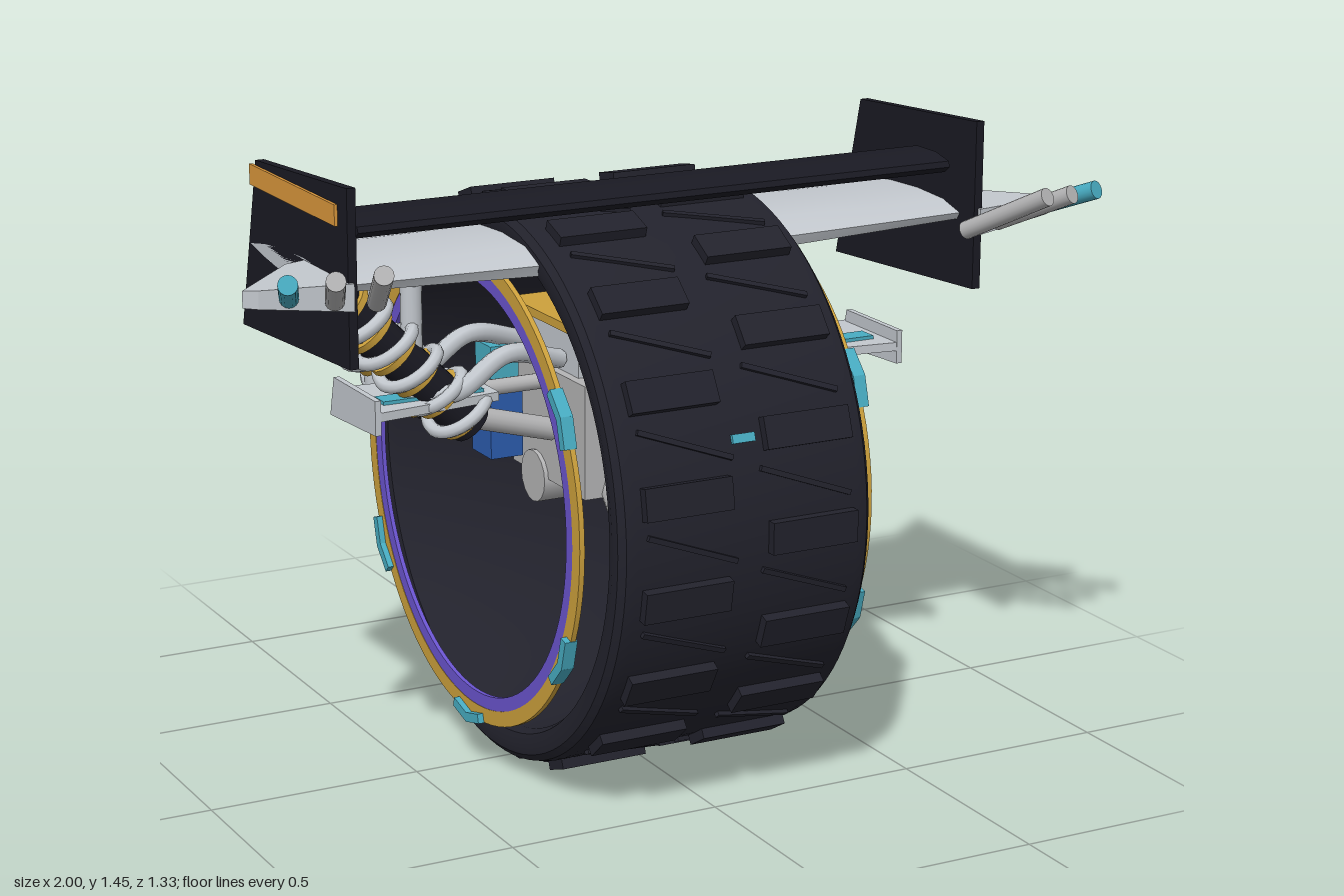
import * as THREE from 'three';
import { toCreasedNormals } from 'three/addons/utils/BufferGeometryUtils.js';

const CY = 0.665; // wheel centre height
const V = (x, y, z) => new THREE.Vector3(x, y, z);
const mat = (name, color, side = THREE.FrontSide) => {
  const m = new THREE.MeshStandardMaterial({ color, side });
  m.name = name;
  return m;
};

export function createModel() {
  const rubber = mat('rubber', 0x22222c);
  const panel = mat('darkPanel', 0x1a1a23);
  const silver = mat('silver', 0xc3c8ce);
  const steel = mat('steel', 0xb4b4b5);
  const gold = mat('gold', 0xcda13c);
  const orange = mat('orange', 0xdb983c);
  const purple = mat('purple', 0x6a54cf);
  const cyan = mat('cyan', 0x48acc2);
  const blue = mat('blue', 0x2c5cae);

  const root = new THREE.Group();
  const add = (name, geo, m, parent = root) => {
    const mesh = new THREE.Mesh(geo, m);
    mesh.name = name;
    parent.add(mesh);
    return mesh;
  };
  const group = (name, parent = root) => {
    const g = new THREE.Group();
    g.name = name;
    parent.add(g);
    return g;
  };
  const box = (name, w, h, d, x, y, z, m, parent) => {
    const b = add(name, new THREE.BoxGeometry(w, h, d), m, parent);
    b.position.set(x, y, z);
    return b;
  };
  const rod = (name, a, b, r, m, parent, r2 = r) => {
    const d = b.clone().sub(a);
    const c = add(name, new THREE.CylinderGeometry(r2, r, d.length(), 16), m, parent);
    c.position.copy(a).addScaledVector(d, 0.5);
    c.quaternion.setFromUnitVectors(V(0, 1, 0), d.normalize());
    return c;
  };
  const tube = (name, pts, r, m, parent, n = 24) =>
    add(name, new THREE.TubeGeometry(new THREE.CatmullRomCurve3(pts), n, r, 8), m, parent);
  const shapeOf = pts => new THREE.Shape(pts.map(p => new THREE.Vector2(p[0], p[1])));
  const extrude = (pts, depth, steps = 1) =>
    new THREE.ExtrudeGeometry(shapeOf(pts), { depth, steps, bevelEnabled: false });
  // Side-profile plate: points are [z, y], thickness runs along x
  const sidePlate = (pts, x, t, steps) =>
    extrude(pts.map(([z, y]) => [-z, y]), t, steps).rotateY(Math.PI / 2).translate(x - t / 2, 0, 0);
  // Ring around the x axis from a closed [radius, x] profile
  const ringGeo = pts => toCreasedNormals(new THREE.LatheGeometry(
    [...pts, pts[0]].map(p => new THREE.Vector2(p[0], p[1])), 96).rotateZ(-Math.PI / 2), 0.6);
  const band = (r0, r1, x, t) => ringGeo([[r1, x - t / 2], [r1, x + t / 2], [r0, x + t / 2], [r0, x - t / 2]]);

  // Tyre carcass and tread
  const wheel = group('wheel');
  wheel.position.y = CY;
  add('tyre', ringGeo([[0.60, -0.31], [0.622, -0.308], [0.637, -0.295], [0.642, -0.27], [0.642, 0.27],
    [0.637, 0.295], [0.622, 0.308], [0.60, 0.31], [0.575, 0.303], [0.565, 0.285],
    [0.565, -0.285], [0.575, -0.303]]), rubber, wheel);
  for (let i = 0; i < 36; i++) {
    const pivot = group('treadStep', wheel);
    pivot.rotation.x = -i * Math.PI / 18;
    const s = i % 2 ? -1 : 1;
    box('treadBlock', 0.21, 0.072, 0.05, s * 0.152, 0, 0.639, rubber, pivot);
    box('treadRidge', 0.23, 0.012, 0.018, -s * 0.14, 0, 0.641, rubber, pivot).rotation.z = -0.36;
  }
  const marker = group('treadMarker', wheel);
  marker.rotation.x = -0.345;
  box('treadMarkerPlate', 0.055, 0.02, 0.02, 0, 0, 0.64, cyan, marker);

  // Rim rings with chevrons
  for (const s of [-1, 1]) {
    add('goldRing', band(0.515, 0.55, s * 0.355, 0.012), gold, wheel);
    add('purpleRing', band(0.484, 0.515, s * 0.355, 0.01), purple, wheel);
    for (let i = 0; i < 6; i++) {
      const pivot = group('chevron', wheel);
      pivot.rotation.x = i * Math.PI / 3 + Math.PI / 6;
      for (const t of [-1, 1])
        box('chevronBar', 0.03, 0.07, 0.022, s * 0.36, t * 0.031, 0.545, cyan, pivot).rotation.x = t * -0.25;
    }
  }

  // Turbine face on the left side, built facing +z then turned to +x
  const fan = group('turbine');
  fan.position.y = CY;
  fan.rotation.y = Math.PI / 2;
  const faceZ = r => 0.425 - 0.14 * r;
  add('turbineRim', new THREE.TorusGeometry(0.338, 0.028, 16, 64), silver, fan).position.z = 0.372;
  const cone = [[0, 0.35], [0.33, 0.35], [0.33, faceZ(0.33) - 0.012], [0, faceZ(0) - 0.012]];
  add('turbineBack', toCreasedNormals(new THREE.LatheGeometry(
    cone.map(p => new THREE.Vector2(p[0], p[1])), 48).rotateX(Math.PI / 2), 0.5), panel, fan);
  const drape = (geo, lift = 0) => {
    const p = geo.attributes.position;
    for (let i = 0; i < p.count; i++)
      p.setZ(i, p.getZ(i) + lift + faceZ(Math.hypot(p.getX(i), p.getY(i))) - 0.01);
    geo.computeVertexNormals();
    return geo;
  };
  const blade = [[0.05, -0.08], [0.13, -0.075], [0.2, -0.02], [0.285, 0.02], [0.2, 0.045], [0.15, 0.075], [0.06, 0.08]];
  const inlay = [[0.09, -0.035], [0.15, -0.04], [0.235, 0.012], [0.15, 0.03], [0.18, 0.006]];
  for (let i = 0; i < 5; i++) {
    const arm = group('turbineArm', fan);
    arm.rotation.z = (i * 72 + 52) * Math.PI / 180;
    add('blade', drape(extrude(blade, 0.014)), silver, arm);
    add('bladeInlay', drape(extrude(inlay, 0.008), 0.013), steel, arm);
    const arc = [];
    for (let k = 0; k <= 8; k++) {
      const a = -0.25 + k * 0.3, x = 0.2 + 0.085 * Math.cos(a), y = 0.125 + 0.085 * Math.sin(a);
      arc.push(V(x, y, faceZ(Math.hypot(x, y)) - 0.008));
    }
    tube('vane', arc, 0.011, panel, arm);
  }
  const dome = add('hubDome', new THREE.SphereGeometry(0.102, 32, 16), silver, fan);
  dome.scale.z = 0.35;
  dome.position.z = 0.4;
  const cap = add('hubCap', new THREE.CylinderGeometry(0.038, 0.038, 0.012, 24), orange, fan);
  cap.rotation.x = Math.PI / 2;
  cap.position.z = 0.433;

  // Main wing: cambered section thinning toward the tips
  const foil = [[-0.22, 1.205], [-0.14, 1.232], [-0.04, 1.252], [0.08, 1.26], [0.19, 1.25], [0.26, 1.215],
    [0.25, 1.185], [0.15, 1.16], [0, 1.152], [-0.12, 1.168]];
  const wing = sidePlate(foil, 0, 1.56, 8);
  const wp = wing.attributes.position;
  for (let i = 0; i < wp.count; i++)
    wp.setY(i, 1.24 + (wp.getY(i) - 1.24) * (1.03 - 0.5 * Math.abs(wp.getX(i)) / 0.78));
  add('mainWing', toCreasedNormals(wing, 0.7), silver);

  // Upper spoiler blade
  add('spoilerBlade', toCreasedNormals(sidePlate([[0.05, 1.33], [0.06, 1.345], [0.12, 1.36], [0.2, 1.36], [0.255, 1.348],
    [0.26, 1.335], [0.24, 1.32], [0.12, 1.315], [0.06, 1.32]], 0, 1.46), 0.7), panel);

  for (const s of [-1, 1]) {
    // End plate with stripe
    add('endPlate', sidePlate([[0.32, 1.447], [-0.18, 1.415], [-0.28, 1.024], [0.32, 1.06]], s * 0.77, 0.02), panel);
    add('endPlateStripe', sidePlate([[0.27, 1.404], [-0.2, 1.404], [-0.2, 1.358], [0.27, 1.358]], s * 0.783, 0.008), orange);

    // Winglet outside the end plate
    const winglet = extrude([[0.77, 0.08], [0.83, 0.1], [1, 0.28], [0.97, 0.295], [0.77, 0.33]]
      .map(([x, z]) => [s * x, z]), 0.05).rotateX(Math.PI / 2).translate(0, 1.247, 0);
    const p = winglet.attributes.position;
    for (let i = 0; i < p.count; i++)
      if (p.getY(i) < 1.22) p.setY(i, 1.187 + 0.1 * (Math.abs(p.getX(i)) - 0.77));
    winglet.computeVertexNormals();
    add('winglet', winglet, silver);

    // Three tip pipes
    rod('cyanPipe', V(s * 0.905, 1.225, 0.3), V(s * 0.98, 1.3, 0.48), 0.021, cyan);
    rod('middlePipe', V(s * 0.815, 1.215, 0.33), V(s * 0.89, 1.305, 0.515), 0.021, steel);
    rod('innerPipe', V(s * 0.725, 1.205, 0.34), V(s * 0.8, 1.315, 0.55), 0.021, steel);

    // Side step with upright foot plate
    const step = extrude([[0.35, -0.03], [0.66, -0.06], [0.66, 0.18], [0.35, 0.14]]
      .map(([x, z]) => [s * x, z]), 0.02).rotateX(Math.PI / 2).translate(0, 0.915, 0);
    add('sideStep', step, silver);
    box('sideStepStripe', 0.24, 0.008, 0.05, s * 0.5, 0.919, 0.1, cyan);
    add('footPlate', sidePlate([[0.18, 0.943], [-0.045, 0.943], [-0.068, 0.852], [0.18, 0.865]], s * 0.657, 0.014), silver);
  }

  // Engine inside the wheel
  const engine = group('engine');
  box('engineBlock', 0.38, 0.26, 0.36, 0, 0.8, 0.06, steel, engine);
  box('cylinderHead', 0.34, 0.12, 0.3, 0, 0.98, 0.02, silver, engine);
  box('headGasket', 0.36, 0.02, 0.33, 0, 1.035, 0, gold, engine);
  box('airBox', 0.3, 0.2, 0.17, 0, 0.77, 0.395, silver, engine);
  box('airBoxLid', 0.31, 0.014, 0.18, 0, 0.878, 0.395, cyan, engine);
  box('coolantTank', 0.08, 0.16, 0.1, -0.24, 0.78, -0.1, blue, engine);
  box('coolantTankLid', 0.07, 0.1, 0.08, -0.24, 0.91, -0.1, cyan, engine);
  rod('axle', V(-0.2, CY, 0), V(0.36, CY, 0), 0.06, steel, engine);
  rod('stepBeam', V(-0.37, 0.9, 0.05), V(0.37, 0.9, 0.05), 0.018, steel, engine);
  for (const x of [-0.12, 0.1]) {
    const horn = [[0.03, 0], [0.035, 0.05], [0.05, 0.09], [0.075, 0.115]].map(p => new THREE.Vector2(p[0], p[1]));
    const horns = mat('steel', 0xb4b4b5, THREE.DoubleSide);
    add('intakeTrumpet', new THREE.LatheGeometry(horn, 24), horns, engine).position.set(x, 0.9, 0.265);
    tube('exhaustPipe', [V(x, 0.72, 0.2), V(x, 0.64, 0.28), V(x, 0.58, 0.36), V(x, 0.55, 0.45)], 0.028, steel, engine);
  }
  for (const z of [-0.15, 0.155]) rod('headPost', V(0.2, 0.9, z), V(0.2, 1.17, z), 0.024, silver, engine);

  // Coil-over shocks on the right side
  for (const z of [-0.1, 0.1]) {
    const a = V(-0.4, 0.84, z), b = V(-0.72, 1.16, z), len = a.distanceTo(b);
    rod('shockBody', a, b, 0.05, panel);
    const shock = group('shock');
    shock.position.copy(a);
    shock.quaternion.setFromUnitVectors(V(0, 1, 0), b.clone().sub(a).normalize());
    const coil = [];
    for (let i = 0; i <= 60; i++) {
      const t = i / 60, w = t * Math.PI * 10;
      coil.push(V(0.066 * Math.cos(w), 0.02 + t * (len - 0.04), 0.066 * Math.sin(w)));
    }
    tube('shockSpring', coil, 0.015, silver, shock, 140);
    for (let i = 0; i < 6; i++)
      add('shockCollar', new THREE.CylinderGeometry(0.062, 0.062, 0.016, 20), gold, shock).position.y = 0.03 + i * 0.078;
    rod('shockMount', V(-0.2, 0.8, z), V(-0.42, 0.86, z), 0.026, steel);
    rod('wingStrut', V(-0.54, 0.88, z), V(-0.54, 1.17, z), 0.024, silver);
    tube('headerPipe', [V(-0.18, 0.96, z), V(-0.34, 1.0, z + 0.05), V(-0.46, 0.93, z + 0.05), V(-0.54, 0.93, z)], 0.022, silver);
  }
  return root;
}
